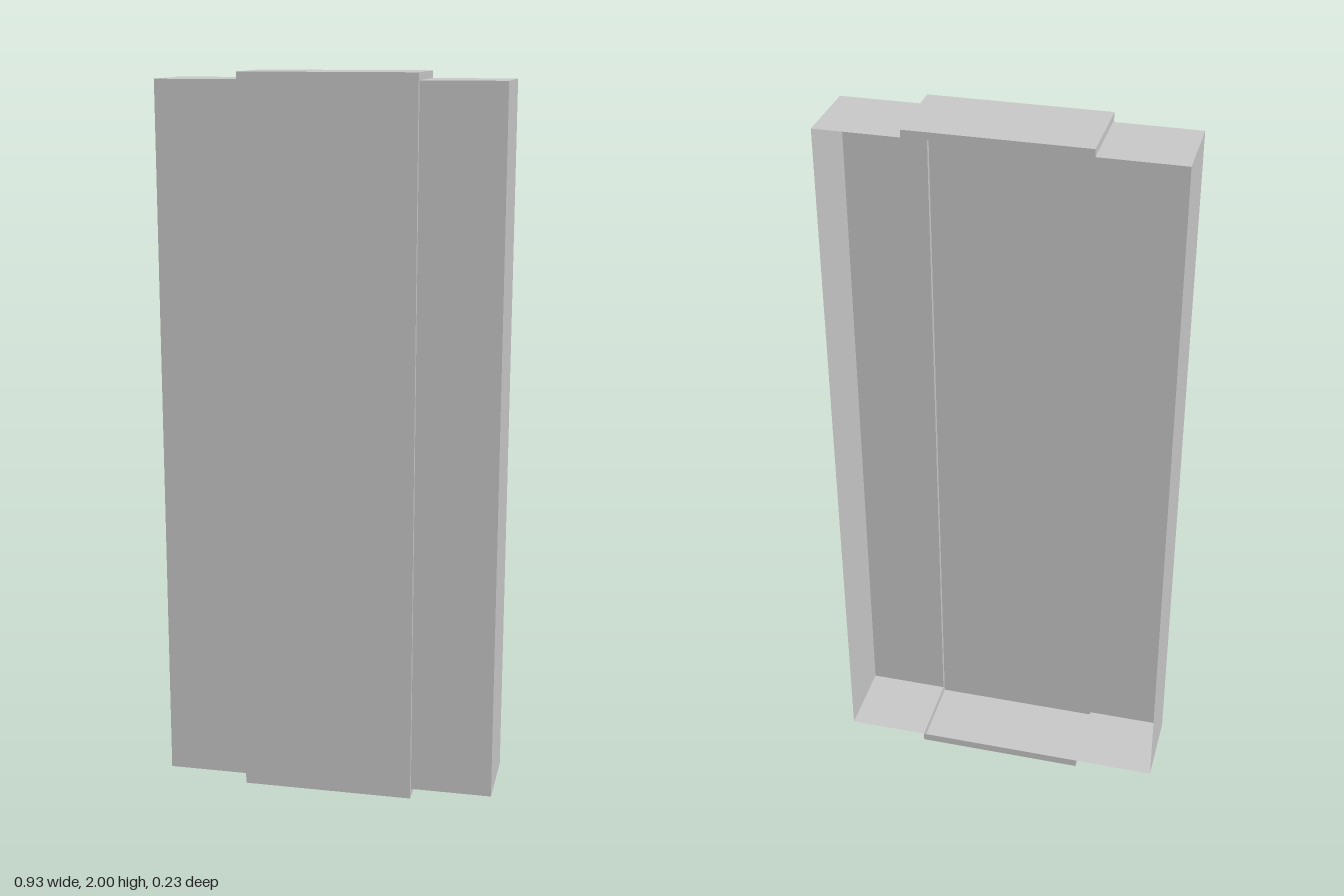
import * as THREE from 'three';

const HALF_W = 0.466, MID_W = 0.239;      // outer and raised-centre half widths
const BACK = -0.116, SIDE_F = 0.102, MID_F = 0.116;
const LOW = 0.023, HIGH = 1.98, TOP = 2;  // side section runs LOW..HIGH, centre 0..TOP

const material = new THREE.MeshStandardMaterial({ color: 0xcccccc, side: THREE.DoubleSide });

// Thin sheet spanning two corners that share one coordinate; dir is its outward sign
function sheet(parent, name, a, b, dir) {
  const size = b.map((v, i) => Math.abs(v - a[i]));
  const axis = size.indexOf(0);
  const w = axis === 0 ? size[2] : size[0];
  const h = axis === 1 ? size[2] : size[1];
  const mesh = new THREE.Mesh(new THREE.PlaneGeometry(w, h), material);
  mesh.name = name;
  if (axis === 0) mesh.rotation.y = dir * Math.PI / 2;
  if (axis === 1) mesh.rotation.x = -dir * Math.PI / 2;
  if (axis === 2 && dir < 0) mesh.rotation.y = Math.PI;
  mesh.position.set(...a.map((v, i) => (v + b[i]) / 2));
  parent.add(mesh);
}

export function createModel() {
  const model = new THREE.Group();
  model.name = 'openBackPanel';

  // Raised centre: front face, caps and the narrow lips closing their back
  const centre = new THREE.Group();
  centre.name = 'centreSection';
  sheet(centre, 'centreFront', [-MID_W, 0, MID_F], [MID_W, TOP, MID_F], 1);
  sheet(centre, 'centreTop', [-MID_W, TOP, BACK], [MID_W, TOP, MID_F], 1);
  sheet(centre, 'centreBottom', [-MID_W, 0, BACK], [MID_W, 0, MID_F], -1);
  sheet(centre, 'topBackLip', [-MID_W, HIGH, BACK], [MID_W, TOP, BACK], -1);
  sheet(centre, 'bottomBackLip', [-MID_W, 0, BACK], [MID_W, LOW, BACK], -1);
  model.add(centre);

  // Side sections with the steps joining them to the centre
  for (const s of [-1, 1]) {
    const side = new THREE.Group();
    side.name = s > 0 ? 'leftSection' : 'rightSection';
    const m = s * MID_W, o = s * HALF_W;
    sheet(side, 'sideFront', [m, LOW, SIDE_F], [o, HIGH, SIDE_F], 1);
    sheet(side, 'sideTop', [m, HIGH, BACK], [o, HIGH, SIDE_F], 1);
    sheet(side, 'sideBottom', [m, LOW, BACK], [o, LOW, SIDE_F], -1);
    sheet(side, 'outerWall', [o, LOW, BACK], [o, HIGH, SIDE_F], s);
    sheet(side, 'frontStep', [m, LOW, SIDE_F], [m, HIGH, MID_F], s);
    sheet(side, 'topStep', [m, HIGH, BACK], [m, TOP, MID_F], s);
    sheet(side, 'bottomStep', [m, 0, BACK], [m, LOW, MID_F], s);
    model.add(side);
  }
  return model;
}
